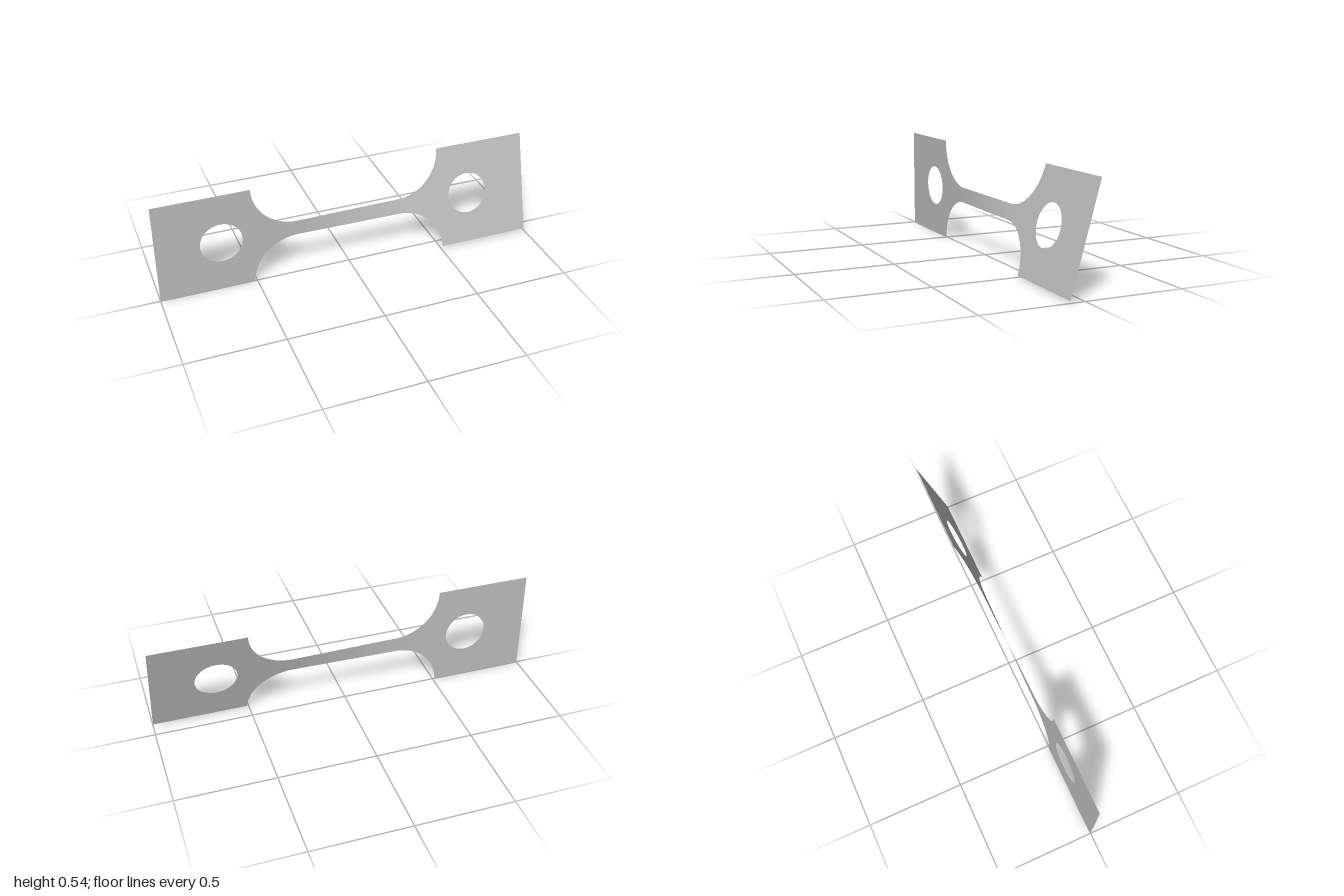
import * as THREE from 'three';
import { ParametricGeometry } from 'three/addons/geometries/ParametricGeometry.js';

const CENTRE_Y = 0.271;               // height of the long axis
const HALF_H = 0.271;                 // half height of the grip plates
const GRIP_X = 0.51;                  // inner edge of the grip plates
const HOLE_X = 0.67, HOLE_R = 0.108;  // bolt holes
const FILLET_R = 0.235, FILLET_X = 0.275, NECK_H = 0.04;
const TWIST = THREE.MathUtils.degToRad(15.4);

// Twist the flat sheet about its long axis; nearly all of it happens in the neck.
function place(x, y, target) {
  const angle = TWIST * THREE.MathUtils.smoothstep(x, -0.42, 0.42);
  target.set(x, CENTRE_Y + y * Math.cos(angle), -y * Math.sin(angle));
}

// Sheet between the rectangle x0..x1 and a round hole, walked counterclockwise.
function gripGeometry(x0, x1, holeX) {
  const corners = [[x0, -HALF_H], [x1, -HALF_H], [x1, HALF_H], [x0, HALF_H]];
  return new ParametricGeometry((u, v, target) => {
    const side = Math.floor(u * 4), t = u * 4 - side;
    const a = corners[side % 4], b = corners[(side + 1) % 4];
    const ex = a[0] + (b[0] - a[0]) * t, ey = a[1] + (b[1] - a[1]) * t;
    const angle = Math.atan2(ey, ex - holeX);
    const hx = holeX + HOLE_R * Math.cos(angle), hy = HOLE_R * Math.sin(angle);
    place(ex + (hx - ex) * v, ey + (hy - ey) * v, target);
  }, 128, 8);
}

// Narrow neck flaring into the grips through quarter-circle fillets.
function neckGeometry() {
  return new ParametricGeometry((u, v, target) => {
    const s = u * 2 - 1, m = Math.abs(s);
    let x, half;
    if (m < 0.4) {
      x = FILLET_X * m / 0.4;
      half = NECK_H;
    } else {
      const a = (m - 0.4) / 0.6 * Math.PI / 2;
      x = FILLET_X + FILLET_R * Math.sin(a);
      half = Math.min(HALF_H, NECK_H + FILLET_R * (1 - Math.cos(a)));
    }
    place(Math.sign(s) * x, half * (v * 2 - 1), target);
  }, 80, 12);
}

export function createModel() {
  const steel = new THREE.MeshStandardMaterial({ color: 0xc0c0c0, side: THREE.DoubleSide });
  steel.name = 'greySteel';
  const model = new THREE.Group();
  model.name = 'twistedTestStrip';
  const add = (name, geometry) => {
    const mesh = new THREE.Mesh(geometry, steel);
    mesh.name = name;
    model.add(mesh);
  };
  add('rightGrip', gripGeometry(-1, -GRIP_X, -HOLE_X));
  add('neck', neckGeometry());
  add('leftGrip', gripGeometry(GRIP_X, 1, HOLE_X));
  return model;
}
